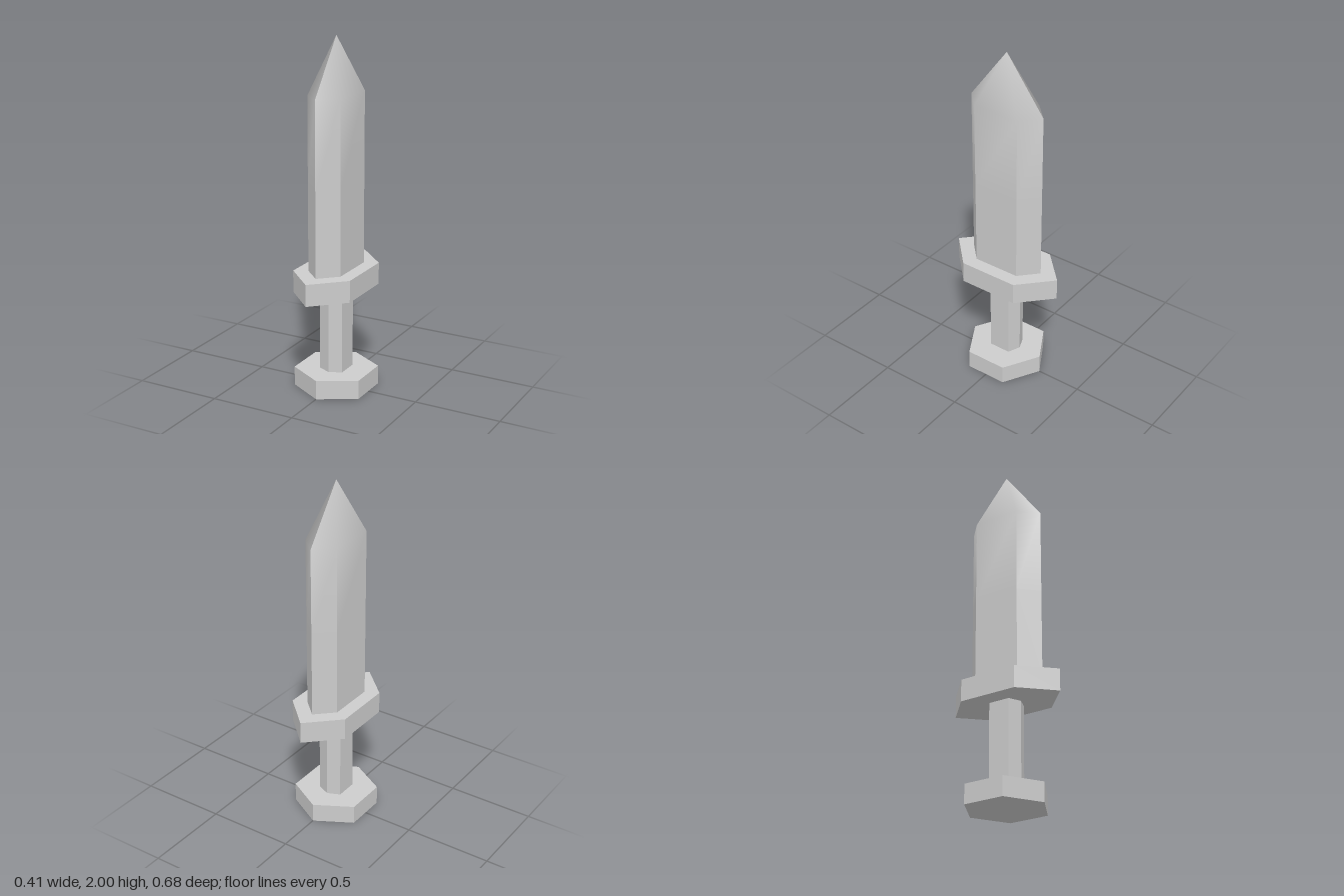
import * as THREE from 'three';

const steel = new THREE.MeshStandardMaterial({ color: 0xcccccc });
steel.name = 'light grey';

// Six-sided prism: points at z = ±tipZ, flat sides at x = ±halfX spanning z = ±cornerZ
function hexPrism(name, halfX, cornerZ, tipZ, y0, y1) {
  const outline = [
    [0, -tipZ], [halfX, -cornerZ], [halfX, cornerZ],
    [0, tipZ], [-halfX, cornerZ], [-halfX, -cornerZ],
  ].map(([x, z]) => new THREE.Vector2(x, z));
  const geometry = new THREE.ExtrudeGeometry(new THREE.Shape(outline), {
    depth: y1 - y0, bevelEnabled: false,
  });
  geometry.rotateX(-Math.PI / 2).translate(0, y0, 0);
  const mesh = new THREE.Mesh(geometry, steel);
  mesh.name = name;
  return mesh;
}

// One half of the upper blade: crisp at its base, blending smoothly into the point
function bladeHalf(halfX, cornerZ, tipZ, y0, shoulderY, apexY) {
  const section = [[0, tipZ], [halfX, cornerZ], [halfX, -cornerZ], [0, -tipZ]];
  const positions = [];
  const indices = [];
  section.forEach(([x, z]) => positions.push(x, shoulderY, z));
  positions.push(0, apexY, 0);
  for (let i = 0; i < 3; i++) {
    const a = positions.length / 3;
    for (const [x, z] of [section[i], section[i + 1]]) positions.push(x, y0, z);
    indices.push(a, a + 1, i + 1, a, i + 1, i); // side
    indices.push(i, i + 1, 4);                  // point
  }
  const geometry = new THREE.BufferGeometry();
  geometry.setAttribute('position', new THREE.Float32BufferAttribute(positions, 3));
  geometry.setIndex(indices);
  geometry.computeVertexNormals();
  return geometry;
}

export function createModel() {
  const sword = new THREE.Group();
  sword.name = 'sword';

  sword.add(
    hexPrism('pommel', 0.205, 0.12, 0.235, 0, 0.11),
    hexPrism('grip', 0.071, 0.063, 0.093, 0.11, 0.585),
    hexPrism('guard', 0.177, 0.172, 0.342, 0.585, 0.71),
  );

  // Blade: straight lower part and two mirrored halves forming the point
  const blade = new THREE.Group();
  blade.name = 'blade';
  blade.add(hexPrism('lowerBlade', 0.1, 0.137, 0.232, 0.71, 1.2));
  const half = bladeHalf(0.1, 0.137, 0.232, 1.2, 1.69, 2);
  ['leftBladePoint', 'rightBladePoint'].forEach((name, i) => {
    const mesh = new THREE.Mesh(half, steel);
    mesh.name = name;
    mesh.rotation.y = i * Math.PI;
    blade.add(mesh);
  });
  sword.add(blade);

  return sword;
}
